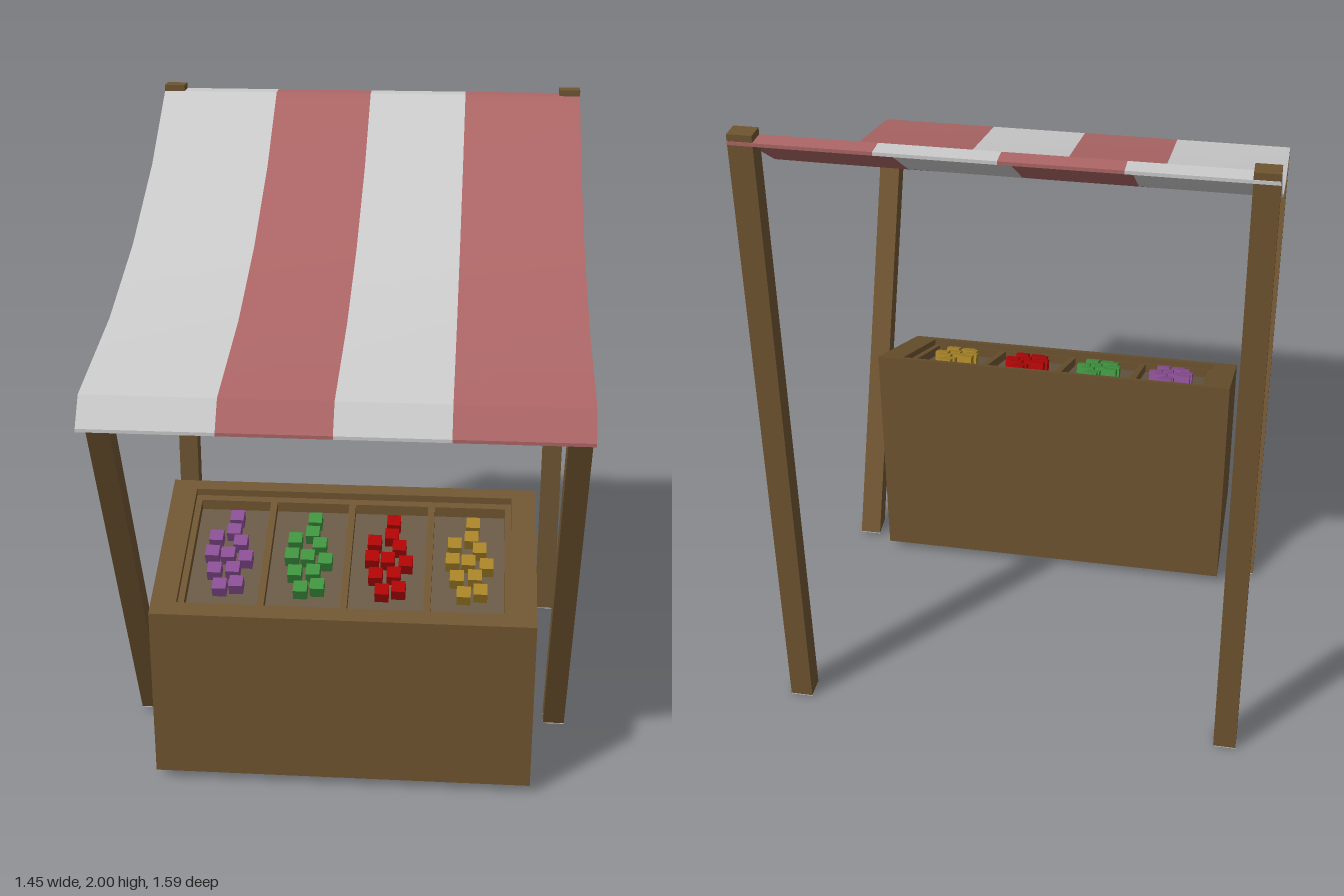
import * as THREE from 'three';
import { toCreasedNormals } from 'three/addons/utils/BufferGeometryUtils.js';

const paint = (color) => new THREE.MeshStandardMaterial({ color });
const wood = paint(0x6f5531);
const trayWood = paint(0x6a5a46);
const white = paint(0xcccccc);
const red = paint(0xad6666);

// Extrudes a side profile of [z, y] points from x0 to x1
function profileMesh(name, points, x0, x1, material, crease = 0.3) {
  const shape = new THREE.Shape(points.map(([z, y]) => new THREE.Vector2(z, y)));
  const geometry = new THREE.ExtrudeGeometry(shape, { depth: x1 - x0, bevelEnabled: false });
  geometry.rotateY(-Math.PI / 2).translate(x1, 0, 0);
  const mesh = new THREE.Mesh(toCreasedNormals(geometry, crease), material);
  mesh.name = name;
  return mesh;
}

// Sloping counter top: height at depth z
const FRONT = 0.55, BACK = 0.03, LOW = 0.6, HIGH = 0.825;
const topAt = (z) => LOW + (HIGH - LOW) * (FRONT - z) / (FRONT - BACK);

// Strip following the slope, between two depths below the counter top
function slopeStrip(name, x0, x1, z0, z1, upper, lower, material = wood) {
  return profileMesh(name, [
    [z0, topAt(z0) - lower], [z0, topAt(z0) - upper],
    [z1, topAt(z1) - upper], [z1, topAt(z1) - lower],
  ], x0, x1, material);
}

function createCounter() {
  const counter = new THREE.Group();
  counter.name = 'counter';
  const depth = 0.06;
  counter.add(profileMesh('counterBody', [
    [FRONT, 0.03], [FRONT, LOW - depth], [BACK, HIGH - depth], [BACK, 0.03],
  ], -0.6, 0.6, wood));

  // Outer rim, then a lower ledge just inside it
  const frontEdge = 0.505, backEdge = 0.065;
  counter.add(
    slopeStrip('frontRim', -0.6, 0.6, FRONT, frontEdge, 0, depth),
    slopeStrip('backRim', -0.6, 0.6, backEdge, BACK, 0, depth),
    slopeStrip('frontLedge', -0.52, 0.52, frontEdge, frontEdge - 0.015, 0.022, depth),
    slopeStrip('backLedge', -0.52, 0.52, backEdge + 0.02, backEdge, 0.022, depth),
    slopeStrip('trayFloor', -0.51, 0.51, frontEdge, backEdge, depth - 0.005, depth, trayWood),
  );
  for (const side of [-1, 1]) {
    const strip = (name, a, b, drop) => counter.add(slopeStrip(
      name, Math.min(a * side, b * side), Math.max(a * side, b * side), frontEdge, backEdge, drop, depth));
    strip('sideRim', 0.52, 0.6, 0);
    strip('sideLedge', 0.5, 0.52, 0.022);
  }
  for (const x of [-0.26, 0, 0.26]) {
    counter.add(slopeStrip('trayDivider', x - 0.011, x + 0.011, frontEdge, backEdge, 0.022, depth));
  }
  return counter;
}

// One heap of small cubes lying on the slope
function createProduce(name, x, color) {
  const heap = new THREE.Group();
  heap.name = name;
  const material = paint(color);
  const spots = [
    [-0.012, 0.135], [0.04, 0.125], [-0.035, 0.075], [0.022, 0.065], [0.058, 0.02],
    [-0.05, 0.005], [0.0, 0.005], [0.035, -0.045], [-0.045, -0.06], [0.008, -0.095], [0.012, -0.15],
  ];
  spots.forEach(([dx, dz], i) => {
    const cube = new THREE.Mesh(new THREE.BoxGeometry(0.044, 0.04, 0.044), material);
    cube.name = 'produceCube';
    cube.position.set(dx, 0.003 * (i % 3), dz);
    heap.add(cube);
  });
  const z = 0.285;
  heap.position.set(x, topAt(z) - 0.034, z);
  heap.rotation.x = Math.atan2(HIGH - LOW, FRONT - BACK);
  return heap;
}

function createAwning() {
  const awning = new THREE.Group();
  awning.name = 'awning';
  const top = [
    [-0.795, 1.98], [-0.735, 1.98], [-0.45, 1.783], [-0.08, 1.603],
    [0.3, 1.477], [0.735, 1.393], [0.795, 1.312],
  ];
  const under = top.map(([z, y]) => [z, y - 0.01]).reverse();
  const edges = [-0.725, -0.33, 0, 0.33, 0.725];
  for (let i = 0; i < 4; i++) {
    awning.add(profileMesh('awningStripe', [...top, ...under], edges[i], edges[i + 1], i % 2 ? red : white));
  }
  return awning;
}

export function createModel() {
  const stall = new THREE.Group();
  stall.name = 'marketStall';
  stall.add(createCounter(), createAwning());

  const colors = { purpleProduce: 0x8a4f94, greenProduce: 0x3f9440, redProduce: 0xb00505, yellowProduce: 0xa88428 };
  Object.entries(colors).forEach(([name, color], i) =>
    stall.add(createProduce(name, -0.385 + i * 0.2567, color)));

  // Upright rear posts and leaning front legs, with grey feet
  for (const x of [-0.725, 0.655]) {
    stall.add(
      profileMesh('rearPost', [[-0.698, 0.003], [-0.735, 2], [-0.793, 2], [-0.766, 0.003]], x, x + 0.07, wood),
      profileMesh('rearFoot', [[-0.698, 0], [-0.698, 0.003], [-0.766, 0.003], [-0.766, 0]], x, x + 0.07, white),
      profileMesh('frontLeg', [[0.157, 0.02], [0.735, 1.388], [0.672, 1.4], [0.088, 0.014]].reverse(), x, x + 0.07, wood),
      profileMesh('frontFoot', [[0.157, 0.017], [0.157, 0.02], [0.088, 0.014], [0.088, 0.011]], x, x + 0.07, white),
    );
  }
  return stall;
}
